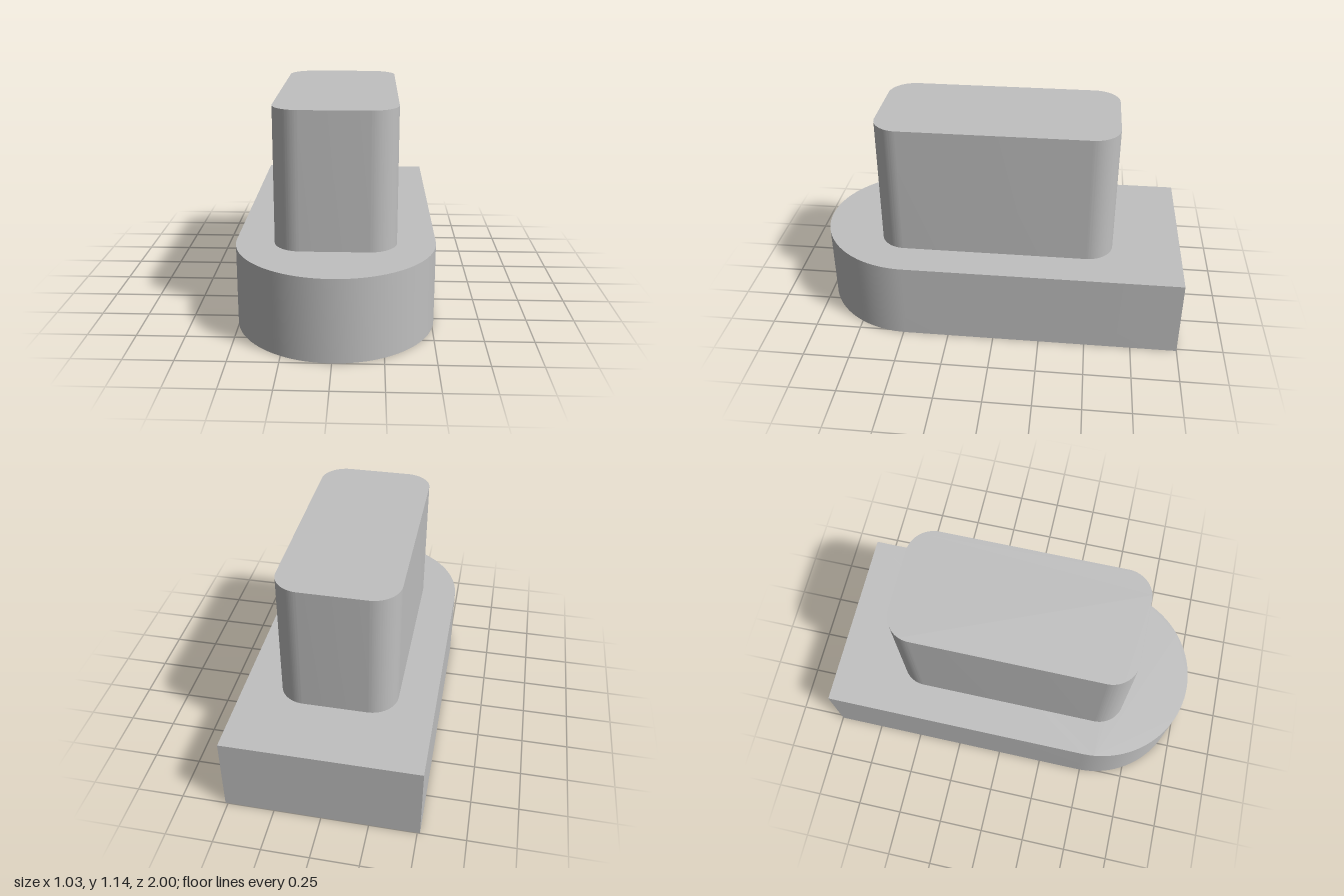
import * as THREE from 'three';
import { toCreasedNormals } from 'three/addons/utils/BufferGeometryUtils.js';

const grey = new THREE.MeshStandardMaterial({ color: 0xc0c0c0 });
grey.name = 'plain grey';

// Extrudes a plan outline (shape y = -z) upwards from y0 to y1
function prism(name, shape, y0, y1) {
  const extruded = new THREE.ExtrudeGeometry(shape, { depth: y1 - y0, bevelEnabled: false, curveSegments: 24 });
  extruded.rotateX(-Math.PI / 2);
  const mesh = new THREE.Mesh(toCreasedNormals(extruded, 0.5), grey);
  mesh.position.y = y0;
  mesh.name = name;
  return mesh;
}

// Base plan: square back, semicircular front
function baseOutline(r) {
  const s = new THREE.Shape();
  s.moveTo(r, 1);
  s.lineTo(-r, 1);
  s.lineTo(-r, r - 1);
  s.absarc(0, r - 1, r, Math.PI, Math.PI * 2, false);
  s.closePath();
  return s;
}

// Block plan: rectangle with rounded corners
function roundedOutline(w, zBack, zFront, r) {
  const s = new THREE.Shape();
  const top = -zBack, bottom = -zFront, q = Math.PI / 2;
  s.moveTo(-w + r, bottom);
  s.absarc(w - r, bottom + r, r, -q, 0, false);
  s.absarc(w - r, top - r, r, 0, q, false);
  s.absarc(-w + r, top - r, r, q, 2 * q, false);
  s.absarc(-w + r, bottom + r, r, 2 * q, 3 * q, false);
  return s;
}

export function createModel() {
  const model = new THREE.Group();
  model.name = 'steppedBlock';
  model.add(prism('base', baseOutline(0.514), 0, 0.429));
  model.add(prism('upperBlock', roundedOutline(0.314, -0.629, 0.657, 0.143), 0.429, 1.143));
  return model;
}
